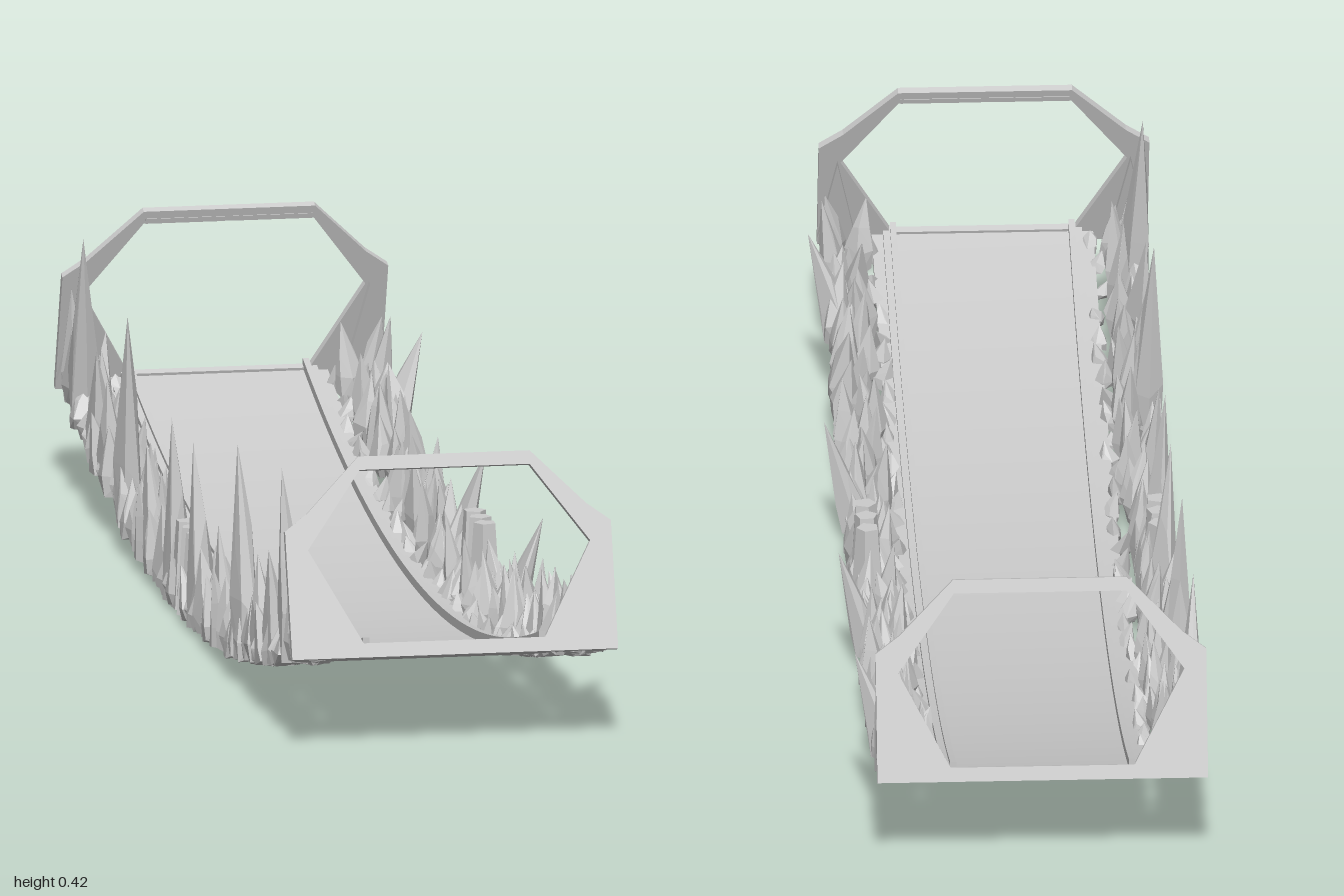
import * as THREE from 'three';
import { ConvexGeometry } from 'three/addons/geometries/ConvexGeometry.js';

const MID = -0.0125; // centre line of the bridge
const R = 3.64; // radius of the sagging deck
const sag = (z) => 0.007 + R - Math.sqrt(R * R - z * z);

const smooth = new THREE.MeshStandardMaterial({ color: 0xcccccc });
const flat = new THREE.MeshStandardMaterial({ color: 0xcccccc, flatShading: true });

let seed = 7;
function rnd(a, b) {
  seed = (seed * 16807) % 2147483647;
  return a + (b - a) * (seed / 2147483647);
}

function add(parent, name, geometry, material) {
  const mesh = new THREE.Mesh(geometry, material);
  mesh.name = name;
  parent.add(mesh);
  return mesh;
}

// Long bar bent along the sag, lifted above its underside
function bentBar(x, width, lift, height, length = 1.98) {
  const g = new THREE.BoxGeometry(width, height, length, 1, 1, 56);
  const p = g.attributes.position;
  for (let i = 0; i < p.count; i++) {
    p.setXYZ(i, p.getX(i) + x, p.getY(i) + height / 2 + lift + sag(p.getZ(i)), p.getZ(i));
  }
  g.computeVertexNormals();
  return g;
}

// Faceted shard: ragged base ring, narrower waist ring, sharp tip
function shard(x, z, tip, rx, rz, xMin, xMax) {
  const base = sag(z);
  const pts = [];
  const turn = rnd(0, 6);
  for (const [k, s] of [[-0.002, 0.8], [0.25, 1], [0.55, 0.6]]) {
    for (let i = 0; i < 5; i++) {
      const a = turn + (i / 5) * Math.PI * 2 + rnd(-0.3, 0.3);
      const f = s * rnd(0.75, 1.1);
      const lean = Math.max(k, 0) ** 2;
      const px = x + (tip.x - x) * lean + Math.cos(a) * rx * f;
      const pz = z + (tip.z - z) * lean + Math.sin(a) * rz * f;
      const py = k < 0 ? sag(pz) + rnd(-0.006, 0.004) : base + (tip.y - base) * k * rnd(0.8, 1.15);
      pts.push(new THREE.Vector3(
        THREE.MathUtils.clamp(px, xMin, xMax), py, THREE.MathUtils.clamp(pz, -0.985, 0.985)));
    }
  }
  pts.push(tip);
  return new ConvexGeometry(pts);
}

// One bank of shards; side is -1 or +1, end mirrors it along z
function shardBank(side, end) {
  const bank = new THREE.Group();
  bank.name = side < 0 ? 'rightShards' : 'leftShards';
  const xMin = side < 0 ? -0.255 : 0.12;
  const xMax = side < 0 ? -0.145 : 0.23;
  // rows from the outer edge inwards: offset, spacing, height range, radius
  const rows = [
    [0.222, 0.04, 0.06, 0.13, 0.024],
    [0.19, 0.042, 0.07, 0.13, 0.022],
    [0.163, 0.055, 0.02, 0.05, 0.016],
  ];
  for (const [off, step, low, high, r] of rows) {
    for (let t = 0.018; t < 0.965; t += step * rnd(0.8, 1.15)) {
      const x = MID + side * (off + rnd(-0.008, 0.008));
      const z = end * t;
      const h = rnd(low, high);
      const tip = new THREE.Vector3(
        THREE.MathUtils.clamp(x + rnd(-0.014, 0.014), xMin, xMax),
        sag(z) + h, z + end * rnd(-0.022, 0.012));
      add(bank, 'shard', shard(x, z, tip, r, r * rnd(0.9, 1.3), xMin, xMax), flat);
    }
  }
  // Tall spires on one bank, outward leaning ones on the other
  const spires = side < 0
    ? [[0.1, 0.09, 0.28], [0.3, 0.3, 0.2], [0.49, 0.46, 0.355], [0.64, 0.63, 0.225],
      [0.74, 0.72, 0.25], [0.88, 0.83, 0.395], [0.95, 0.93, 0.3]]
    : [[0.23, 0.24, 0.18], [0.77, 0.77, 0.25]];
  for (const [z, tz, y] of spires) {
    const x = side < 0 ? -0.232 : 0.212;
    const tip = new THREE.Vector3(side < 0 ? -0.241 : 0.253, y, end * tz);
    add(bank, 'spire', shard(x, end * z, tip, 0.024, 0.036, xMin, side < 0 ? xMax : 0.25), flat);
  }
  return bank;
}

// Gate outline, half profile mirrored about its centre line
function mirrored(half, Kind) {
  const left = half.map(([x, y]) => new THREE.Vector2(x, y));
  const right = half.map(([x, y]) => new THREE.Vector2(-x, y)).reverse();
  return new Kind([...left, ...right]);
}

function gate(end) {
  const group = new THREE.Group();
  group.name = end > 0 ? 'frontGate' : 'backGate';
  const outline = mirrored(
    [[0.2425, 0], [0.2425, 0.19], [0.2075, 0.216], [0.1275, 0.297]], THREE.Shape);
  outline.holes.push(mirrored(
    [[0.135, 0.021], [0.21, 0.161], [0.1265, 0.277]], THREE.Path));
  const depth = 0.012;
  const frame = new THREE.ExtrudeGeometry(outline, { depth, bevelEnabled: false });
  frame.translate(0, 0, -depth);
  add(group, 'gateFrame', frame, flat);
  // Lip strips below the lintel, with a gap in the middle
  for (const s of [-1, 1]) {
    const lip = add(group, 'lintelLip', new THREE.BoxGeometry(0.118, 0.008, 0.006), flat);
    lip.position.set(s * 0.065, 0.281, 0.002 - depth);
    // Raised triangular foot panel
    const foot = new THREE.Shape([[0.2425, 0.02], [0.215, 0.165], [0.187, 0.022]]
      .map(([x, y]) => new THREE.Vector2(s * x, y)));
    const panel = new THREE.ExtrudeGeometry(foot, { depth: 0.012, bevelEnabled: false });
    panel.translate(0, 0, -0.022);
    add(group, 'footPanel', panel, flat);
  }
  group.rotation.order = 'YXZ';
  group.rotation.set(-0.33, end > 0 ? 0 : Math.PI, 0);
  group.position.set(MID, 0.142, end * 0.999);
  return group;
}

export function createModel() {
  const model = new THREE.Group();
  model.name = 'crystalBridge';

  // Walkway and its stepped kerbs
  add(model, 'deck', bentBar(MID, 0.325, 0, 0.012), smooth);
  for (const s of [-1, 1]) {
    add(model, 'kerb', bentBar(MID + s * 0.131, 0.009, 0.012, 0.014), smooth);
    add(model, 'kerbStep', bentBar(MID + s * 0.14, 0.012, 0.012, 0.008), smooth);
  }

  for (const end of [1, -1]) {
    model.add(gate(end));
    for (const side of [-1, 1]) {
      seed = side < 0 ? 4217 : 90311; // same bank at both ends
      model.add(shardBank(side, end));
    }
  }

  // Blocky boulders at the lowest point
  for (const s of [-1, 1]) {
    for (const z of [-0.045, 0, 0.045]) {
      const block = add(model, 'boulder', new THREE.CylinderGeometry(0.017, 0.026, 0.13, 5), flat);
      block.position.set(MID + s * 0.214, 0.07, z);
      block.rotation.y = z * 20;
    }
  }
  return model;
}
